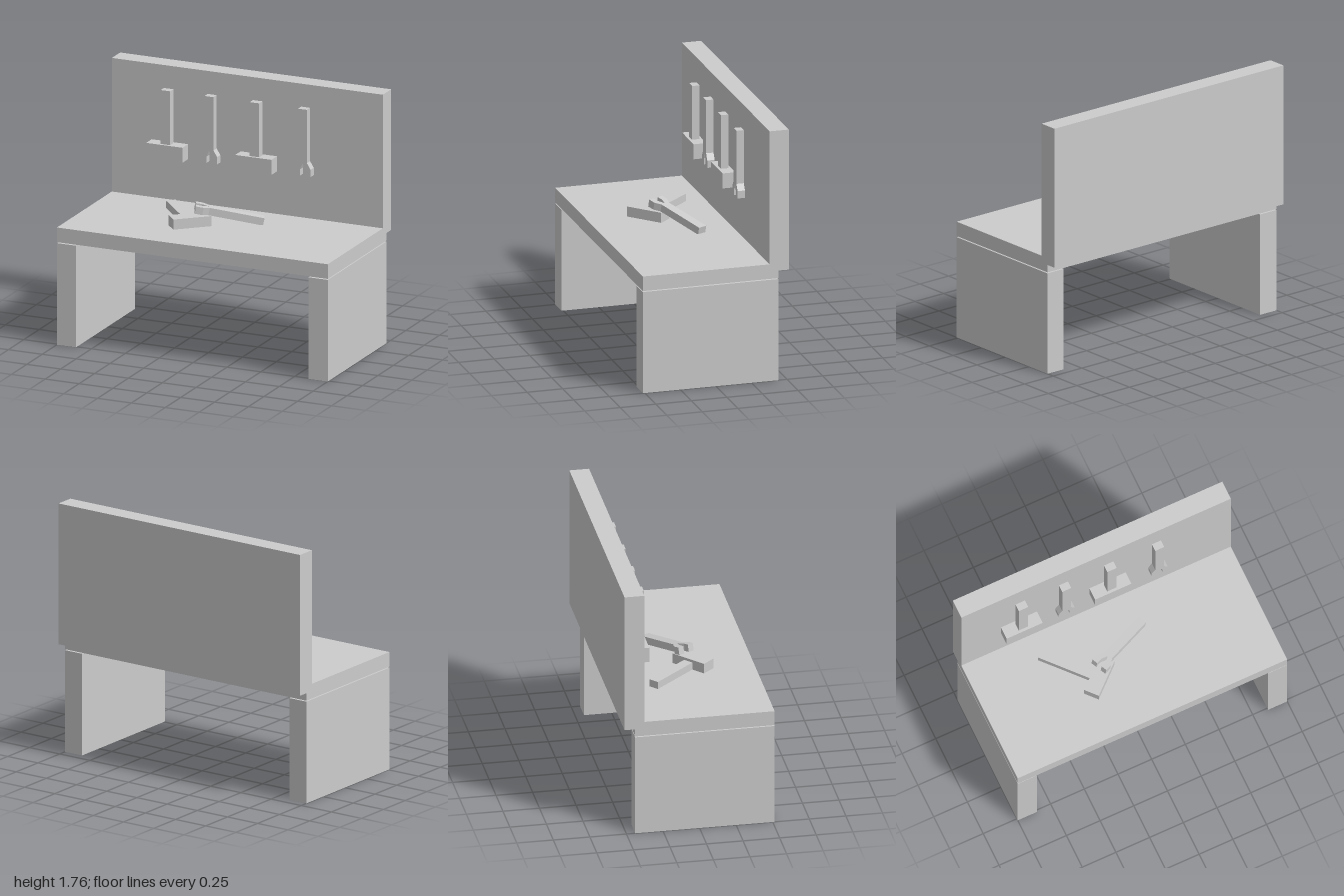
import * as THREE from 'three';

const material = new THREE.MeshStandardMaterial({ color: 0xcccccc, flatShading: true });

// Box given by its minimum and maximum corners
function box(name, [x0, y0, z0], [x1, y1, z1]) {
  const mesh = new THREE.Mesh(new THREE.BoxGeometry(x1 - x0, y1 - y0, z1 - z0), material);
  mesh.name = name;
  mesh.position.set((x0 + x1) / 2, (y0 + y1) / 2, (z0 + z1) / 2);
  return mesh;
}

// Hammer: head centred on the origin, handle along +y
function hammer(name) {
  const group = new THREE.Group();
  group.name = name;
  group.add(
    box('hammerHead', [-0.134, -0.053, -0.045], [0.134, 0.053, 0.045]),
    box('hammerHandle', [-0.035, 0, -0.026], [0.035, 0.432, 0.026]),
  );
  return group;
}

// Open-ended wrench: jaw tips at y = 0, handle along +y
function wrench(name) {
  const half = [[0.033, 0.47], [0.033, 0.095], [0.06, 0.052], [0.06, 0], [0.019, 0], [0.019, 0.045]];
  const left = half.map(([x, y]) => [-x, y]).reverse();
  const outline = [...half, [0, 0.09], ...left].map(([x, y]) => new THREE.Vector2(x, y));
  const geometry = new THREE.ExtrudeGeometry(new THREE.Shape(outline), { depth: 0.052, bevelEnabled: false });
  geometry.translate(0, 0, -0.026);
  const mesh = new THREE.Mesh(geometry, material);
  mesh.name = name;
  return mesh;
}

// Lay a tool flat: turn about the vertical, then tip back past the bench plane by pitch
function lay(tool, x, y, z, turn, pitch) {
  tool.position.set(x, y, z);
  tool.rotation.set(-Math.PI / 2 - pitch, turn, 0, 'YXZ');
  return tool;
}

export function createModel() {
  const model = new THREE.Group();
  model.name = 'workbench';

  // Bench and backboard
  model.add(
    box('benchTop', [-1, 0.722, -0.44], [1, 0.825, 0.513]),
    box('rightLeg', [-1, 0, -0.44], [-0.858, 0.715, 0.513]),
    box('leftLeg', [0.858, 0, -0.44], [1, 0.715, 0.513]),
    box('backboard', [-1, 0.775, -0.513], [1, 1.765, -0.378]),
  );

  // Tools hanging on the backboard
  for (const x of [-0.572, 0.085]) {
    const tool = hammer('hangingHammer');
    tool.position.set(x, 1.178, -0.333);
    model.add(tool);
  }
  for (const x of [-0.251, 0.439]) {
    const tool = wrench('hangingWrench');
    tool.position.set(x, 1.14, -0.333);
    model.add(tool);
  }

  // Hammer lying on the bench with a wrench leaning on its head
  model.add(
    lay(hammer('lyingHammer'), -0.203, 0.851, 0.105, 0.73, 0),
    lay(wrench('lyingWrench'), -0.185, 0.943, 0.061, -1.115, 0.205),
  );

  return model;
}
